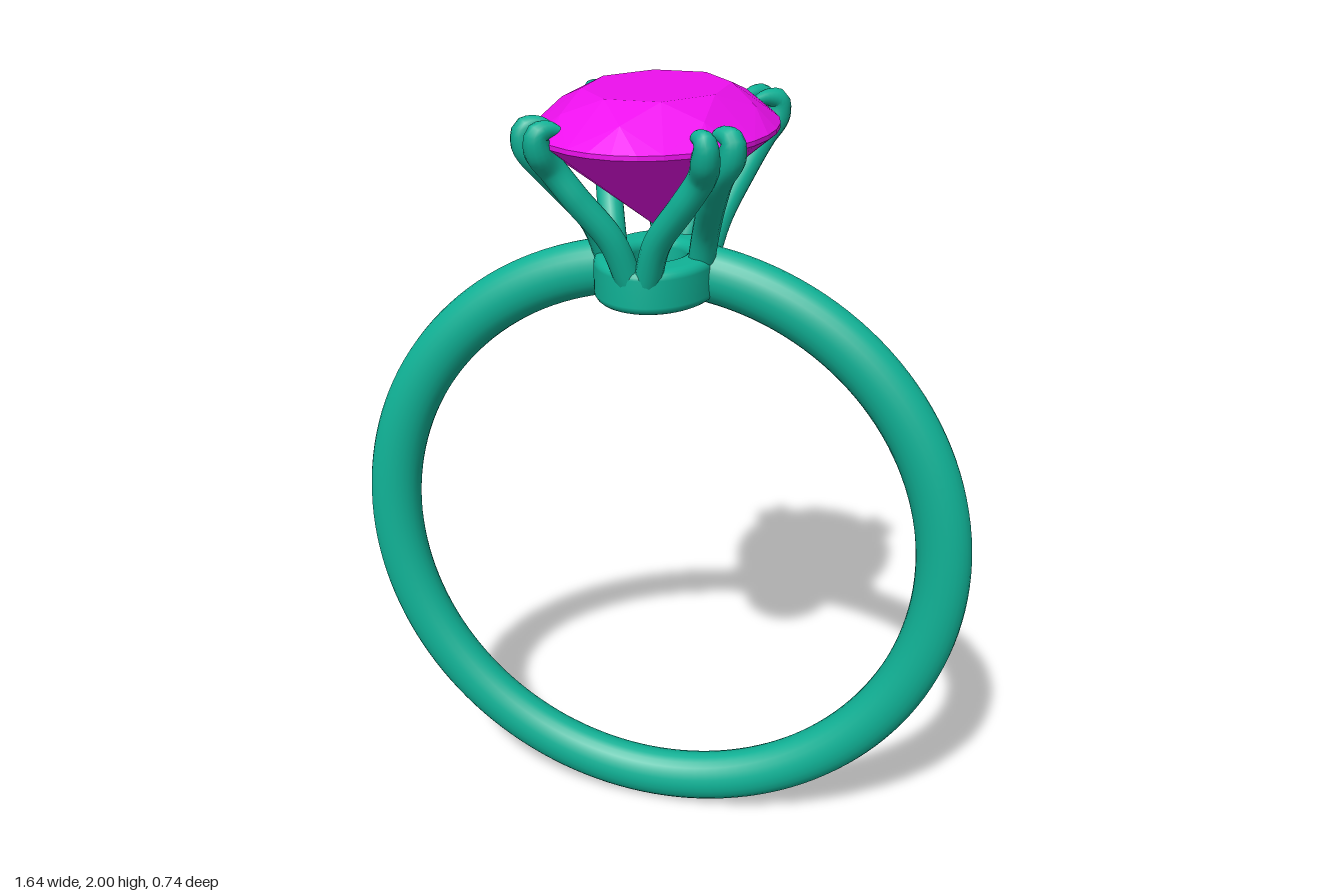
import * as THREE from 'three';
import { ConvexGeometry } from 'three/addons/geometries/ConvexGeometry.js';

const metal = new THREE.MeshStandardMaterial({ color: 0x10b296 });
const gem = new THREE.MeshStandardMaterial({ color: 0xee10ee, flatShading: true });

function add(parent, name, geometry, material) {
  const mesh = new THREE.Mesh(geometry, material);
  mesh.name = name;
  parent.add(mesh);
  return mesh;
}

// Round wire that tapers to a point over the last part of its path
function claw(points) {
  const path = new THREE.CatmullRomCurve3(points);
  const n = 56, sides = 14, radius = 0.033;
  const geo = new THREE.TubeGeometry(path, n, radius, sides);
  const pos = geo.attributes.position, v = new THREE.Vector3();
  for (let i = 0; i <= n; i++) {
    const t = i / n;
    const centre = path.getPointAt(t);
    const k = t < 0.8 ? 1 : Math.max(0.03, Math.sqrt(1 - (t - 0.8) / 0.2));
    for (let j = 0; j <= sides; j++) {
      const id = i * (sides + 1) + j;
      v.fromBufferAttribute(pos, id).sub(centre).multiplyScalar(k).add(centre);
      pos.setXYZ(id, v.x, v.y, v.z);
    }
  }
  return geo;
}

// Rounded rectangular section, listed counter-clockwise for a lathe
function collarProfile(r0, r1, y0, y1, c) {
  const corners = [[r1 - c, y0 + c, -0.5], [r1 - c, y1 - c, 0], [r0 + c, y1 - c, 0.5], [r0 + c, y0 + c, 1]];
  const pts = [];
  for (const [r, y, start] of corners) {
    for (let i = 0; i <= 5; i++) {
      const a = (start + i / 10) * Math.PI;
      pts.push(new THREE.Vector2(r + c * Math.cos(a), y + c * Math.sin(a)));
    }
  }
  pts.push(pts[0].clone());
  return pts;
}

// Points around the stone's oval outline, scaled by s
function ovalRing(count, s, y, offset = 0) {
  return Array.from({ length: count }, (_, i) => {
    const a = ((i + offset) / count) * Math.PI * 2;
    return new THREE.Vector3(0.285 * s * Math.cos(a), y, 0.368 * s * Math.sin(a));
  });
}

export function createModel() {
  const ring = new THREE.Group();
  ring.name = 'ring';

  // Band, open where it meets the collar
  const gap = 0.147;
  const bandGeo = new THREE.TorusGeometry(0.75, 0.07, 24, 140, Math.PI * 2 - gap * 2);
  bandGeo.rotateZ(Math.PI / 2 + gap).scale(1, 1, 0.84);
  add(ring, 'band', bandGeo, metal).position.y = 0.82;
  for (const s of [-1, 1]) {
    const end = add(ring, 'bandEnd', new THREE.SphereGeometry(1, 24, 16), metal);
    end.scale.set(0.02, 0.07, 0.059);
    end.position.set(s * 0.75 * Math.sin(gap), 0.82 + 0.75 * Math.cos(gap), 0);
    end.rotation.z = -s * gap;
  }

  // Oval collar with an open centre
  const collar = new THREE.LatheGeometry(collarProfile(0.07, 0.15, 1.5, 1.61, 0.022), 64);
  add(ring, 'collar', collar.scale(1, 1, 1.35), metal);

  // Four split prongs: one wire from the collar's side, one from its end
  const sideWire = [
    [0.112, 1.57, 0.02], [0.137, 1.68, 0.065], [0.175, 1.78, 0.16], [0.207, 1.85, 0.228],
    [0.235, 1.895, 0.25], [0.238, 1.933, 0.25], [0.215, 1.942, 0.232], [0.183, 1.935, 0.207],
  ];
  const endWire = [
    [0.02, 1.57, 0.165], [0.055, 1.68, 0.198], [0.125, 1.78, 0.235], [0.172, 1.85, 0.258],
    [0.189, 1.895, 0.295], [0.19, 1.933, 0.3], [0.173, 1.942, 0.28], [0.148, 1.935, 0.253],
  ];
  for (const sx of [-1, 1]) {
    for (const sz of [-1, 1]) {
      const prong = new THREE.Group();
      prong.name = 'prong';
      for (const wire of [sideWire, endWire]) {
        const pts = wire.map(([x, y, z]) => new THREE.Vector3(x * sx, y, z * sz));
        add(prong, 'claw', claw(pts), metal);
      }
      ring.add(prong);
    }
  }

  // Faceted oval stone: table, crown, girdle, pavilion, culet
  add(ring, 'stone', new ConvexGeometry([
    ...ovalRing(8, 0.6, 2, 0.5),
    ...ovalRing(8, 0.82, 1.963),
    ...ovalRing(32, 1, 1.914),
    ...ovalRing(32, 1, 1.903),
    ...ovalRing(8, 0.5, 1.79, 0.5),
    new THREE.Vector3(0, 1.665, 0),
  ]), gem);

  return ring;
}
